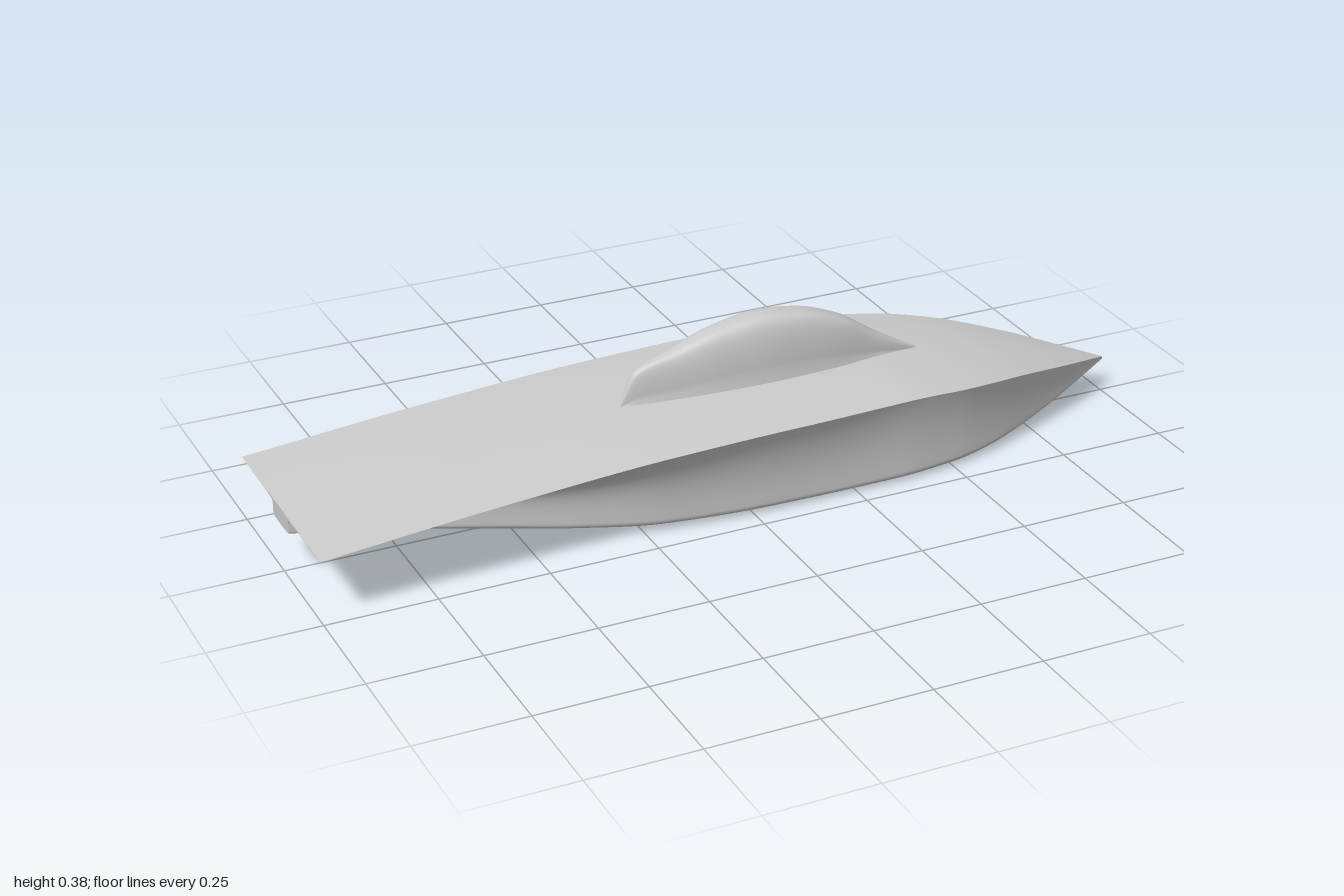
import * as THREE from 'three';

const material = new THREE.MeshStandardMaterial({ color: 0xcccccc, side: THREE.DoubleSide });

// Smooth curve through [x, value] pairs without overshoot
function profile(points) {
  const slope = (i) => (points[i + 1][1] - points[i][1]) / (points[i + 1][0] - points[i][0]);
  const tangent = (i) => {
    if (i === 0) return slope(0);
    if (i === points.length - 1) return slope(i - 1);
    const a = slope(i - 1), b = slope(i);
    return a * b <= 0 ? 0 : (2 * a * b) / (a + b);
  };
  return (x) => {
    let i = 0;
    while (i < points.length - 2 && x > points[i + 1][0]) i++;
    const [x0, y0] = points[i], [x1, y1] = points[i + 1];
    const h = x1 - x0, t = THREE.MathUtils.clamp((x - x0) / h, 0, 1), u = 1 - t;
    return y0 * (1 + 2 * t) * u * u + y1 * t * t * (3 - 2 * t)
      + h * (tangent(i) * t * u * u - tangent(i + 1) * t * t * u);
  };
}

// Skin a series of cross-sections, each a list of [z, y] at station x
function loft(name, stations, section) {
  const pos = [], index = [];
  let n = 0;
  for (const x of stations) {
    const pts = section(x);
    n = pts.length;
    for (const [z, y] of pts) pos.push(x, y, z);
  }
  for (let i = 0; i < stations.length - 1; i++) {
    for (let j = 0; j < n - 1; j++) {
      const a = i * n + j, b = a + 1, c = a + n, d = c + 1;
      index.push(a, b, c, c, b, d);
    }
  }
  return toMesh(name, pos, index);
}

function toMesh(name, pos, index) {
  const geometry = new THREE.BufferGeometry();
  geometry.setAttribute('position', new THREE.Float32BufferAttribute(pos, 3));
  geometry.setIndex(index);
  geometry.computeVertexNormals();
  const mesh = new THREE.Mesh(geometry, material);
  mesh.name = name;
  return mesh;
}

const range = (from, to, count) =>
  Array.from({ length: count + 1 }, (_, i) => from + ((to - from) * i) / count);

// Lengthwise profiles of the body, tail at -x and nose at +x
const deckHalf = profile([[-1, 0.255], [0.1, 0.255], [0.3, 0.245], [0.5, 0.222], [0.6, 0.195], [0.8, 0.11], [1, 0]]);
const deckEdge = profile([[-1, 0.15], [-0.6, 0.186], [-0.2, 0.211], [0.15, 0.218], [0.35, 0.215],
  [0.5, 0.203], [0.65, 0.181], [0.8, 0.145], [0.9, 0.116], [1, 0.086]]);
const camber = profile([[-1, 0.001], [-0.3, 0.01], [0.1, 0.013], [0.5, 0.011], [1, 0]]);
const chineHalf = profile([[-1, 0.05], [-0.8, 0.072], [-0.6, 0.115], [-0.4, 0.16], [-0.2, 0.192],
  [0.05, 0.208], [0.35, 0.21], [0.5, 0.195], [0.6, 0.17], [0.8, 0.093], [1, 0]]);
const keel = profile([[-1, 0.11], [-0.8, 0.083], [-0.6, 0.055], [-0.4, 0.028], [-0.2, 0.008],
  [0, 0.002], [0.2, 0], [0.5, 0.002], [0.6, 0.006], [0.7, 0.017], [0.8, 0.035], [0.9, 0.057], [1, 0.08]]);
const flare = profile([[-1, 25], [-0.7, 8], [-0.4, 4], [-0.1, 2.7], [0.5, 2.5], [1, 1.5]]);

// Cambered top skin
const deckSection = (x) => range(-1, 1, 24).map((s) =>
  [s * deckHalf(x), deckEdge(x) + camber(x) * (1 - s * s)]);

// Flared side, rounded chine and nearly flat bottom, mirrored
function hullSection(x) {
  const w = deckHalf(x), b = chineHalf(x), top = deckEdge(x), bottom = keel(x);
  const sag = 0.007 * (b / 0.21), r = Math.min(0.016, b * 0.12);
  const h = top - bottom - sag, sideEnd = 1 - Math.min(r / Math.max(h, 1e-4), 0.4);
  const half = [];
  for (let i = 0; i <= 18; i++) {
    const t = sideEnd * (i / 18) ** 2;
    half.push([b + (w - b) * (1 - t) ** flare(x), top - h * t]);
  }
  for (let i = 1; i <= 5; i++) {
    const a = (i / 5) * Math.PI / 2;
    half.push([b - r * (1 - Math.cos(a)), top - h * (sideEnd + (1 - sideEnd) * Math.sin(a))]);
  }
  for (let i = 1; i <= 6; i++) {
    const s = 1 - i / 6;
    half.push([(b - r) * s, bottom + sag * s * s]);
  }
  return [...half, ...half.slice(0, -1).reverse().map(([z, y]) => [-z, y])];
}

// Slim cockpit fairing with a cut-off tail
const canopyTop = profile([[-0.23, 0.218], [-0.19, 0.295], [-0.1, 0.329], [0, 0.362], [0.11, 0.377],
  [0.2, 0.368], [0.3, 0.335], [0.4, 0.272], [0.45, 0.243], [0.5, 0.216]]);
const canopyHalf = profile([[-0.23, 0.003], [-0.19, 0.014], [-0.1, 0.031], [0, 0.045], [0.12, 0.052],
  [0.25, 0.046], [0.4, 0.023], [0.5, 0.003]]);

function canopySection(x) {
  const base = deckEdge(x) + camber(x) - 0.006, h = Math.max(canopyTop(x) - base, 0.001);
  return range(0, Math.PI, 36).map((a) => {
    const c = Math.cos(a), up = Math.sin(a) ** 0.7;
    const foot = 0.005 * Math.max(0, 1 - up * 6);
    const z = Math.sign(c) * (canopyHalf(x) * Math.abs(c) ** 0.55 + foot);
    return [-z, base + h * up];
  });
}

export function createModel() {
  const group = new THREE.Group();
  group.name = 'streamlinedCar';
  const stations = range(-1, 1, 100);
  group.add(loft('deck', stations, deckSection));
  group.add(loft('hull', stations, hullSection));
  group.add(loft('canopy', [...range(-0.23, -0.19, 6), ...range(-0.18, 0.5, 68)], canopySection));

  // Flat end of the narrow tail
  const rim = hullSection(-1);
  const pos = [-1, deckEdge(-1), 0], index = [];
  rim.forEach(([z, y], i) => {
    pos.push(-1, y, z);
    if (i > 0) index.push(0, i + 1, i);
  });
  group.add(toMesh('tailEnd', pos, index));
  return group;
}
